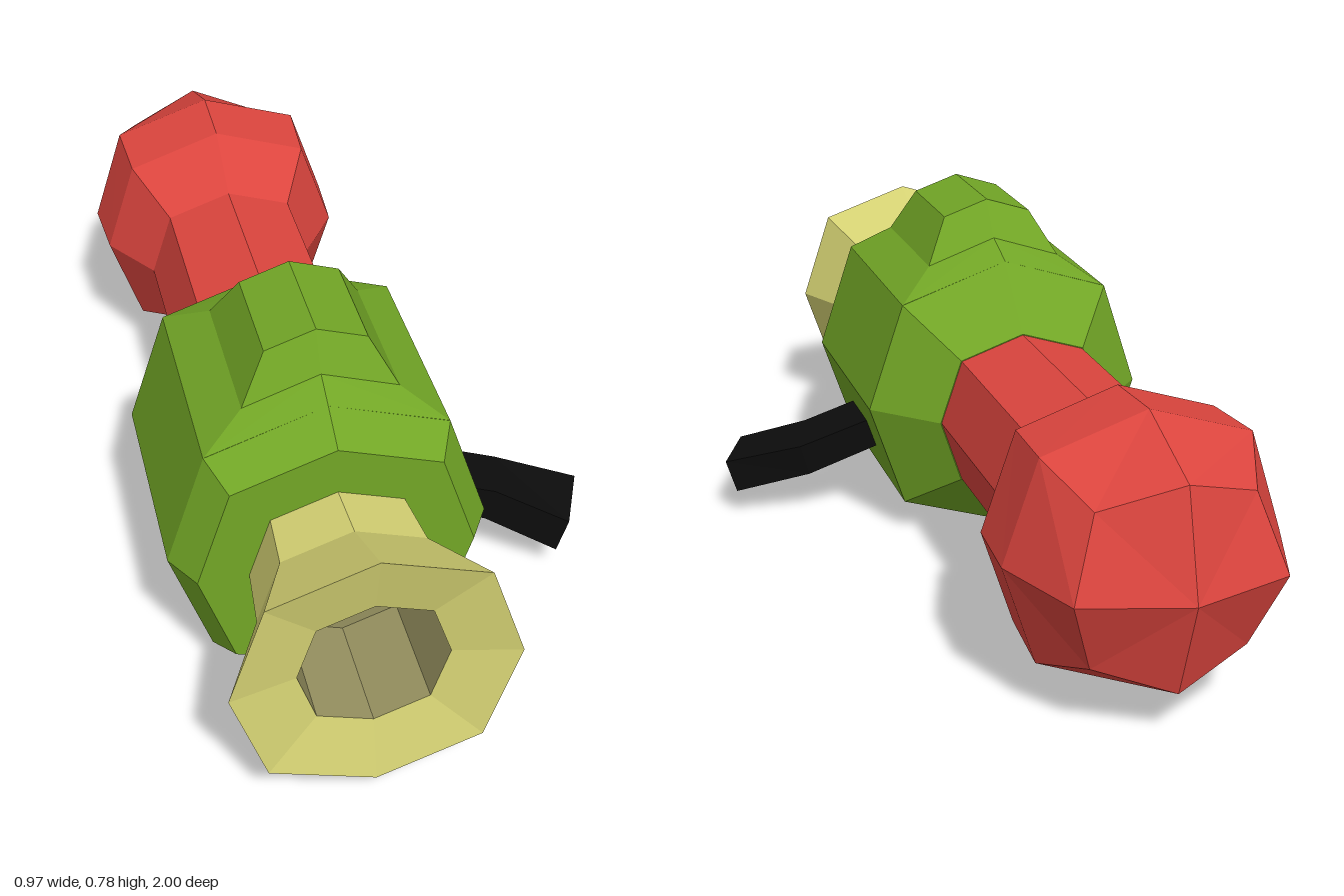
import * as THREE from 'three';
import { ConvexGeometry } from 'three/addons/geometries/ConvexGeometry.js';

const material = (name, color) => {
  const m = new THREE.MeshStandardMaterial({ color, flatShading: true });
  m.name = name;
  return m;
};

// Skins a list of rings (each a list of [x, y, z]) with flat facets.
function loft(rings) {
  const pos = [];
  const n = rings[0].length;
  for (let i = 0; i < rings.length - 1; i++) {
    for (let j = 0; j < n; j++) {
      const k = (j + 1) % n;
      const a = rings[i][j], b = rings[i][k], c = rings[i + 1][k], d = rings[i + 1][j];
      pos.push(...a, ...b, ...c, ...a, ...c, ...d);
    }
  }
  const g = new THREE.BufferGeometry();
  g.setAttribute('position', new THREE.Float32BufferAttribute(pos, 3));
  g.computeVertexNormals();
  return g;
}

// Eight-sided ring around z; diagonal corners bulge out slightly.
// diagR and diagZ override the diagonal corners.
function octagon([z, r, diagR = r * 0.75, diagZ = z]) {
  return Array.from({ length: 8 }, (_, i) => {
    const a = (i * Math.PI) / 4;
    const diagonal = i % 2 === 1;
    const s = diagonal ? diagR * Math.SQRT2 : r;
    return [Math.cos(a) * s, Math.sin(a) * s, diagonal ? diagZ : z];
  });
}
const turned = (profile) => loft(profile.map(octagon));

// Mirrors points across x and wraps them in a faceted hull.
function mirroredHull(points) {
  const all = [];
  for (const [x, y, z] of points) {
    all.push(new THREE.Vector3(x, y, z));
    if (x) all.push(new THREE.Vector3(-x, y, z));
  }
  return new ConvexGeometry(all);
}

export function createModel() {
  const green = material('green', 0x72a626);
  const red = material('red', 0xdc453e);
  const yellow = material('yellow', 0xd6d374);
  const khaki = material('khaki', 0x969160);
  const black = material('black', 0x0c0c0c);

  const model = new THREE.Group();
  const barrel = new THREE.Group();
  barrel.name = 'barrelAssembly';
  barrel.position.set(-0.155, 0.335, 0);
  model.add(barrel);

  const add = (parent, name, geometry, mat) => {
    const mesh = new THREE.Mesh(geometry, mat);
    mesh.name = name;
    parent.add(mesh);
  };

  // Chunky green housing
  add(barrel, 'body', turned([
    [-0.015, 0.15], [-0.015, 0.197], [0.115, 0.332], [0.6, 0.332], [0.68, 0.285], [0.68, 0.16],
  ]), green);

  // Raised shoulders and the knob on top of the housing
  const shoulder = [], knob = [];
  for (const [zBase, zMid, zTop] of [[0.115, 0.2, 0.255], [0.6, 0.54, 0.5]]) {
    shoulder.push([0.248, 0.25, zBase], [0, 0.332, zBase], [0.16, 0.31, zMid], [0, 0.365, zMid]);
    knob.push([0.16, 0.31, zMid], [0, 0.365, zMid], [0.105, 0.41, zTop], [0, 0.445, zTop]);
  }
  add(barrel, 'topShoulder', mirroredHull(shoulder), green);
  add(barrel, 'topKnob', mirroredHull(knob), green);

  // Red rear tube ending in a rounded bulb
  add(barrel, 'rearTubeAndBulb', turned([
    [-1, 0], [-0.935, 0.22, 0.165, -0.885], [-0.74, 0.295, 0.222],
    [-0.58, 0.285], [-0.44, 0.195], [0, 0.195],
  ]), red);

  // Flared front nozzle with a shallow dish
  add(barrel, 'nozzle', turned([
    [0.67, 0.18], [0.81, 0.193], [1, 0.285], [0.97, 0.15],
  ]), yellow);

  // Hollow bore and its end wall
  add(barrel, 'nozzleBore', turned([[0.97, 0.15], [0.72, 0.15], [0.72, 0]]), khaki);

  // Bent side handle: corners run top back, top front, bottom front, bottom back
  add(model, 'sideHandle', loft([
    [[0.1, 0.21, 0.33], [0.1, 0.21, 0.33], [0.1, 0.21, 0.33], [0.1, 0.21, 0.33]],
    [[0.13, 0.25, 0.265], [0.13, 0.25, 0.4], [0.11, 0.18, 0.4], [0.11, 0.18, 0.265]],
    [[0.31, 0.19, 0.28], [0.27, 0.203, 0.41], [0.25, 0.128, 0.41], [0.29, 0.115, 0.28]],
    [[0.485, 0.147, 0.34], [0.42, 0.147, 0.485], [0.395, 0.07, 0.485], [0.462, 0.07, 0.33]],
    [[0.44, 0.11, 0.41], [0.44, 0.11, 0.41], [0.44, 0.11, 0.41], [0.44, 0.11, 0.41]],
  ]), black);

  return model;
}
